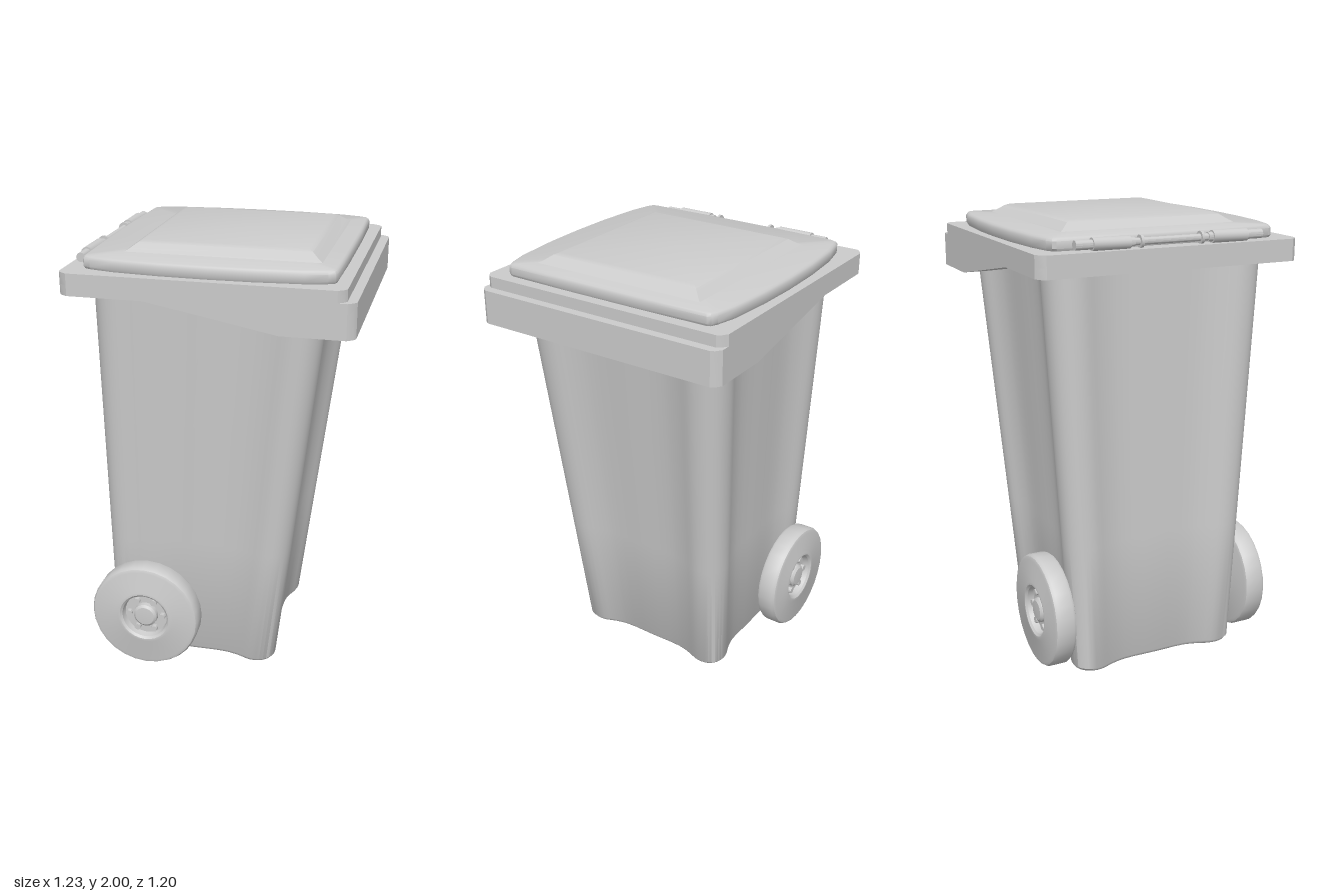
import * as THREE from 'three';
import { toCreasedNormals } from 'three/addons/utils/BufferGeometryUtils.js';

const material = new THREE.MeshStandardMaterial({ color: 0xcccccc });

function mesh(name, geometry) {
  const m = new THREE.Mesh(geometry, material);
  m.name = name;
  return m;
}

// Skin a stack of equal-length rings of [x, y, z] points and cap both ends
function loft(rings, crease = 0.6) {
  const n = rings[0].length, last = rings.length - 1;
  const verts = rings.flat();
  const index = [];
  for (let i = 0; i < last; i++) {
    for (let j = 0; j < n; j++) {
      const k = (j + 1) % n, a = i * n, b = a + n;
      index.push(a + j, a + k, b + k, a + j, b + k, b + j);
    }
  }
  for (const end of [0, last]) {
    const centre = [0, 1, 2].map(c => rings[end].reduce((s, p) => s + p[c], 0) / n);
    const ci = verts.push(centre) - 1;
    for (let j = 0; j < n; j++) {
      const a = end * n + j, b = end * n + (j + 1) % n;
      if (end === 0) index.push(ci, b, a);
      else index.push(ci, a, b);
    }
  }
  const g = new THREE.BufferGeometry();
  g.setAttribute('position', new THREE.Float32BufferAttribute(verts.flat(), 3));
  g.setIndex(index);
  return toCreasedNormals(g, crease);
}

// Tapered bin with lobed corners and hollowed sides
function body() {
  const quarter = [[0, 0.9], [0.4, 0.9], [0.58, 0.94], [0.75, 1], [0.89, 0.98],
    [0.98, 0.89], [1, 0.75], [0.94, 0.58], [0.9, 0.4]];
  const pts = [];
  for (let q = 0; q < 4; q++) {
    for (let [x, z] of quarter) {
      for (let r = 0; r < q; r++) [x, z] = [z, -x];
      pts.push(new THREE.Vector3(x, 0, z));
    }
  }
  const outline = new THREE.CatmullRomCurve3(pts, true).getPoints(108).slice(0, -1);
  const ring = (y, inset) => {
    const t = y / 1.72;
    const x0 = -0.52 + inset, x1 = 0.258 + 0.212 * t - inset;
    const hz = 0.395 + 0.105 * t - inset;
    return outline.map(p => [(x0 + x1) / 2 + p.x * (x1 - x0) / 2, y, p.z * hz]);
  };
  return mesh('body', loft([ring(0, 0.02), ring(0.006, 0.008), ring(0.02, 0),
    ring(0.6, 0), ring(1.2, 0), ring(1.85, 0)]));
}

// Slab with chamfered plan corners, lofted along x; bottom(x) shapes the underside
function slab(name, x0, x1, top, bottom, bends = []) {
  const h = 0.6;
  const stations = [[x0, h - 0.035], [x0 + 0.01, h - 0.018], [x0 + 0.04, h],
    ...bends.map(x => [x, h]),
    [x1 - 0.035, h], [x1 - 0.01, h - 0.018], [x1, h - 0.035]];
  return mesh(name, loft(stations.map(([x, z]) => {
    const b = bottom(x);
    return [[x, top, -z], [x, top, z], [x, b, z], [x, b, -z]];
  }), 0.5));
}

// Lid plate with bowed sides
function lidPlate() {
  const side = [[-0.538, 0.49], [-0.53, 0.507], [-0.5, 0.52], [-0.4, 0.542], [-0.2, 0.56],
    [0, 0.565], [0.2, 0.56], [0.4, 0.542], [0.49, 0.52], [0.518, 0.507], [0.525, 0.49]];
  const outline = [...side, [0.53, 0.2], [0.53, -0.2],
    ...side.map(([x, z]) => [x, -z]).reverse(), [-0.545, -0.2], [-0.545, 0.2]];
  const ring = (y, s) => outline.map(([x, z]) => [x * s, y, z * s]);
  return mesh('lidPlate', loft([ring(1.9, 0.985), ring(1.915, 1), ring(1.945, 1),
    ring(1.955, 0.99), ring(1.96, 0.975)]));
}

// Raised centre of the lid with sloping edges
function lidPanel() {
  const ring = (y, x0, x1, z) => [[x0, y, z], [x1, y, z], [x1, y, -z], [x0, y, -z]];
  return mesh('lidPanel', loft([
    ring(1.95, -0.4, 0.46, 0.42), ring(1.962, -0.385, 0.445, 0.405),
    ring(1.97, -0.37, 0.43, 0.39), ring(1.992, -0.34, 0.4, 0.36),
    ring(2, -0.32, 0.38, 0.34)]));
}

// Round bar lying along z
function bar(name, radius, length, x, y, z, sides = 16) {
  const m = mesh(name, toCreasedNormals(
    new THREE.CylinderGeometry(radius, radius, length, sides), 0.6));
  m.rotation.x = Math.PI / 2;
  m.position.set(x, y, z);
  return m;
}

function hinge() {
  const g = new THREE.Group();
  g.name = 'hinge';
  const x = -0.572, y = 1.93;
  g.add(bar('hingePin', 0.015, 0.4, x, y, 0));
  for (const s of [-1, 1]) {
    g.add(bar('hingeEnd', 0.02, 0.26, x, y, s * 0.3));
    g.add(bar('hingeSleeve', 0.027, 0.165, x, y, s * 0.2725));
    g.add(bar('hingeRing', 0.027, 0.012, x, y, s * 0.139));
  }
  return g;
}

// Tyre with a recessed hub, cap and six bolts; outer face looks along +z
function wheel() {
  const g = new THREE.Group();
  g.name = 'wheel';
  const profile = [[0, -0.045], [0.1, -0.045], [0.11, -0.053], [0.13, -0.053], [0.14, -0.05],
    [0.235, -0.05], [0.248, -0.045], [0.255, -0.033],
    [0.255, 0.033], [0.248, 0.045], [0.235, 0.05],
    [0.14, 0.05], [0.13, 0.054], [0.118, 0.054], [0.108, 0.045], [0.102, 0.015], [0, 0.015]]
    .map(([r, y]) => new THREE.Vector2(r, y));
  const tyre = mesh('tyre', toCreasedNormals(new THREE.LatheGeometry(profile, 28), 0.6));
  tyre.rotation.x = Math.PI / 2;
  g.add(tyre);
  const capProfile = [[0.058, 0.01], [0.056, 0.035], [0.045, 0.044], [0, 0.047]]
    .map(([r, y]) => new THREE.Vector2(r, y));
  const cap = mesh('hubCap', toCreasedNormals(new THREE.LatheGeometry(capProfile, 20), 0.6));
  cap.rotation.x = Math.PI / 2;
  g.add(cap);
  for (let i = 0; i < 6; i++) {
    const a = i * Math.PI / 3;
    g.add(bar('bolt', 0.015, 0.022, Math.cos(a) * 0.08, Math.sin(a) * 0.08, 0.024, 10));
  }
  return g;
}

export function createModel() {
  const model = new THREE.Group();
  model.name = 'wheeledBin';
  model.add(body());

  // Skirt dips towards +x and carries a shorter upper step
  const underside = x => THREE.MathUtils.mapLinear(
    THREE.MathUtils.clamp(x, -0.25, 0.31), -0.25, 0.31, 1.81, 1.705);
  model.add(slab('rimSkirt', -0.617, 0.615, 1.855, underside, [-0.25, 0.31]));
  model.add(slab('rimStep', -0.617, 0.575, 1.905, () => 1.855));
  model.add(lidPlate(), lidPanel(), hinge());

  // Axle and wheels
  model.add(bar('axle', 0.045, 0.88, -0.32, 0.262, 0));
  for (const s of [-1, 1]) {
    const w = wheel();
    w.position.set(-0.32, 0.262, s * 0.48);
    if (s < 0) w.rotation.y = Math.PI;
    model.add(w);
  }
  return model;
}
